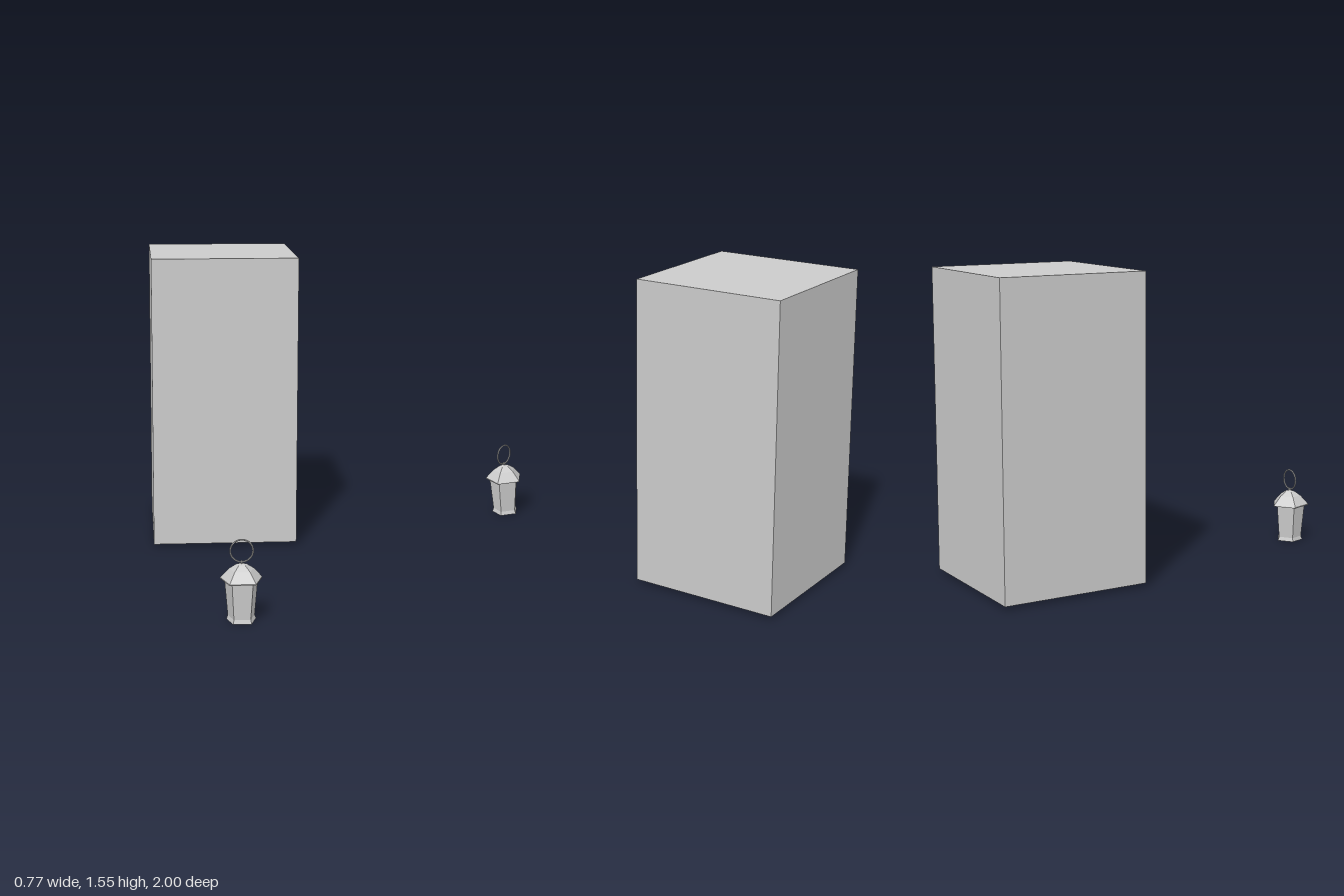
import * as THREE from 'three';

const grey = new THREE.MeshStandardMaterial({ color: 0xcccccc, flatShading: true, side: THREE.DoubleSide });

function part(name, geometry, x, y, z) {
  const mesh = new THREE.Mesh(geometry, grey);
  mesh.name = name;
  mesh.position.set(x, y, z);
  return mesh;
}

// Five-sided turned form with one corner pointing to the back
function pentagon(name, profile) {
  const points = profile.map(([r, y]) => new THREE.Vector2(r, y));
  return part(name, new THREE.LatheGeometry(points, 5, Math.PI), 0, 0, 0);
}

export function createModel() {
  const model = new THREE.Group();
  model.name = 'lanternAndBlock';

  // Large plain block at the back
  model.add(part('block', new THREE.BoxGeometry(0.766, 1.53, 0.766), -0.002, 0.783, -0.617));

  // Small hanging lantern at the front
  const lantern = new THREE.Group();
  lantern.name = 'lantern';
  lantern.position.z = 0.916;
  lantern.add(
    // Tapered body with a flared foot
    pentagon('lanternBody', [[0, 0], [0.073, 0], [0.066, 0.02], [0.082, 0.195]]),
    // Domed roof with overhanging eave
    pentagon('lanternRoof', [
      [0, 0.195], [0.103, 0.195], [0.103, 0.2], [0.06, 0.247], [0.026, 0.27], [0.008, 0.275], [0, 0.275],
    ]),
    // Small eyelet and carrying ring
    part('eyelet', new THREE.TorusGeometry(0.007, 0.003, 6, 12).rotateY(Math.PI / 2), 0, 0.281, 0),
    part('carryRing', new THREE.TorusGeometry(0.053, 0.004, 6, 28), 0, 0.335, 0),
  );
  model.add(lantern);

  return model;
}
